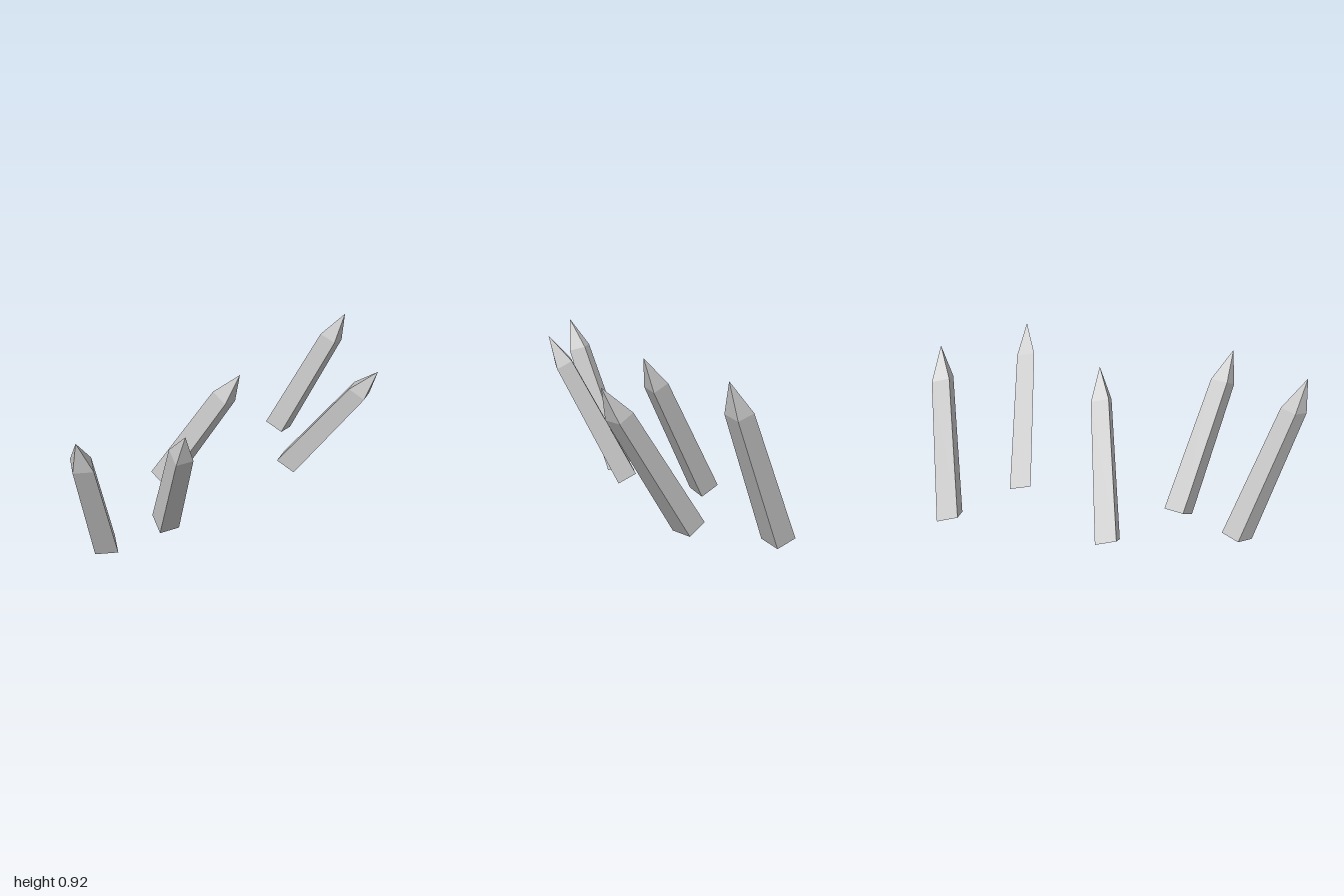
import * as THREE from 'three';

// Each stake: base centre, base width edge (left to right), base depth edge (back to front), tip
const STAKES = [
  { base: [-0.712, 0.052, -0.17], width: [0.1, -0.003, 0.07], depth: [-0.057, -0.03, 0.095], tip: [-0.993, 0.92, 0.035] },
  { base: [-0.37, 0.084, -0.07], width: [0.11, -0.003, 0.03], depth: [-0.03, -0.055, 0.095], tip: [-0.56, 0.895, 0.32] },
  { base: [-0.072, 0.06, -0.423], width: [0.11, -0.027, -0.022], depth: [0.01, -0.055, 0.103], tip: [0.095, 0.85, 0.022] },
  { base: [0.554, 0.06, -0.028], width: [0.107, -0.007, -0.045], depth: [0.038, -0.053, 0.1], tip: [0.665, 0.835, 0.485] },
  { base: [0.835, 0.035, -0.386], width: [0.11, -0.025, -0.03], depth: [0.02, -0.035, 0.112], tip: [0.975, 0.882, -0.022] },
];

// Unit stake: square tapering shaft with a pyramid point, 1 wide, 1 deep, 1 tall
function unitStake() {
  const r = Math.SQRT1_2;
  const profile = [[0, 0], [r, 0], [r * 0.83, 0.806], [0, 1]].map(([x, y]) => new THREE.Vector2(x, y));
  return new THREE.LatheGeometry(profile, 4, Math.PI / 4).toNonIndexed();
}

export function createModel() {
  const group = new THREE.Group();
  group.name = 'leaningStakes';
  const material = new THREE.MeshStandardMaterial({ color: 0xcccccc, flatShading: true });
  const vec = (a) => new THREE.Vector3(...a);

  STAKES.forEach(({ base, width, depth, tip }, i) => {
    // Lean the stake from its base to its tip, keeping the slanted base cut
    const foot = vec(base);
    const matrix = new THREE.Matrix4()
      .makeBasis(vec(width), vec(tip).sub(foot), vec(depth))
      .setPosition(foot);
    const geometry = unitStake().applyMatrix4(matrix);
    geometry.computeVertexNormals();
    const stake = new THREE.Mesh(geometry, material);
    stake.name = `stake${i + 1}`;
    group.add(stake);
  });
  return group;
}
